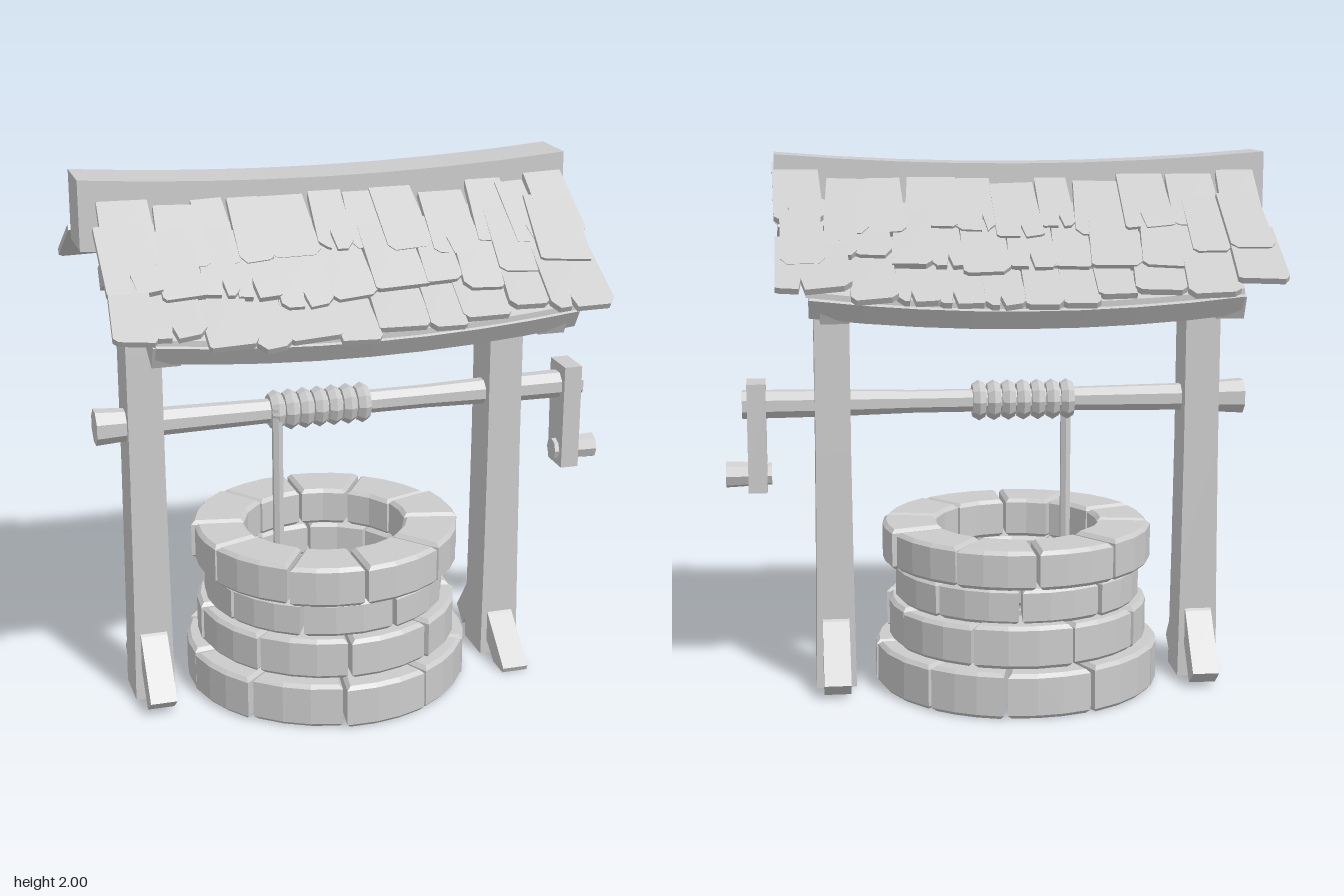
import * as THREE from 'three';

const CX = -0.09; // middle of the well and roof along x
const mat = new THREE.MeshStandardMaterial({ color: 0xcccccc, flatShading: true, side: THREE.DoubleSide });

let seed = 7;
const rnd = (a, b) => {
  seed = (seed * 16807) % 2147483647;
  return a + (b - a) * (seed / 2147483647);
};
const sag = (x, amount) => amount * ((x - CX) / 0.88) ** 2;

function add(parent, geo, name, x = 0, y = 0, z = 0) {
  const m = new THREE.Mesh(geo, mat);
  m.name = name;
  m.position.set(x, y, z);
  parent.add(m);
  return m;
}

// Move every vertex of a geometry by a rule
function bend(geo, rule) {
  const p = geo.attributes.position;
  const v = new THREE.Vector3();
  for (let i = 0; i < p.count; i++) {
    v.fromBufferAttribute(p, i);
    rule(v);
    p.setXYZ(i, v.x, v.y, v.z);
  }
  geo.computeVertexNormals();
  return geo;
}

const shapeOf = (pts) => new THREE.Shape(pts.map(([a, b]) => new THREE.Vector2(a, b)));

// Plank cut from a (z, y) outline, centred on x; side -1 puts it at the back
function plank(parent, pts, x, width, side, name) {
  const geo = new THREE.ExtrudeGeometry(shapeOf(pts), { depth: width, bevelEnabled: false });
  geo.translate(0, 0, -width / 2).rotateY(-side * Math.PI / 2);
  return add(parent, geo, name, x);
}

// One ring of bevelled, slightly uneven stone blocks
function stoneRing(parent, { y0, y1, r, inner, count, start }) {
  const ring = new THREE.Group();
  ring.name = 'stoneRing';
  const step = (Math.PI * 2) / count, bevel = 0.014;
  const cuts = Array.from({ length: count }, (_, i) => start + i * step + rnd(-0.06, 0.06));
  cuts.push(cuts[0] + Math.PI * 2);
  for (let i = 0; i < count; i++) {
    const ro = r - bevel + rnd(-0.012, 0.006), ri = inner + bevel;
    const pts = [];
    const arc = (rad, a, b, n) => {
      for (let k = 0; k <= n; k++) {
        const t = a + ((b - a) * k) / n;
        pts.push([Math.cos(t) * rad, Math.sin(t) * rad]);
      }
    };
    const gapO = 0.02 / ro, gapI = 0.02 / ri;
    arc(ro, cuts[i] + gapO, cuts[i + 1] - gapO, 3);
    arc(ri, cuts[i + 1] - gapI, cuts[i] + gapI, 2);
    const h = y1 - y0 - rnd(0, 0.012);
    const geo = new THREE.ExtrudeGeometry(shapeOf(pts), {
      depth: h - 2 * bevel, bevelThickness: bevel, bevelSize: bevel, bevelSegments: 1,
    });
    geo.rotateX(-Math.PI / 2);
    add(ring, geo, 'stoneBlock', CX, y0 + bevel, 0);
  }
  parent.add(ring);
}

// Wooden shingle with worn corners and sometimes a split; hangs down from its tail
function shingleGeometry(w, len) {
  const h = w / 2, c = rnd(0.01, 0.04), d = rnd(0.01, 0.04);
  const pts = [[-h * 0.92, len], [h * 0.92, len], [h, c], [h - c * 0.7, rnd(0, 0.015)]];
  if (rnd(0, 1) < 0.45) {
    const n = rnd(-h * 0.4, h * 0.4);
    pts.push([n + 0.012, 0], [n, rnd(0.05, 0.09)], [n - 0.01, 0.005]);
  }
  pts.push([-h + d * 0.7, rnd(0, 0.015)], [-h, d]);
  return new THREE.ExtrudeGeometry(shapeOf(pts), { depth: 0.024, bevelEnabled: false });
}

function roofSide(parent, side) {
  const roof = new THREE.Group();
  roof.name = side > 0 ? 'frontRoof' : 'backRoof';
  // Boarding under the shingles
  const boards = new THREE.BoxGeometry(1.52, 0.02, 1, 10, 1, 5);
  bend(boards, (v) => {
    const t = v.z + 0.5;
    v.x += -0.06;
    v.y += 1.83 - 0.37 * t + 0.04 * t * t + sag(v.x, 0.03 + 0.03 * t);
    v.z = 0.07 + 0.49 * t;
  });
  add(roof, boards, 'roofBoards').scale.z = side;
  // Sagging eave beam
  const eave = new THREE.BoxGeometry(1.51, 0.08, 0.1, 8, 1, 1).rotateX(0.58);
  add(roof, bend(eave, (v) => { v.x -= 0.065; v.y += 1.475 + sag(v.x, 0.06); v.z += 0.495; }), 'eaveBeam').scale.z = side;
  // Three overlapping shingle rows: tail z, tail y, slope, sag
  const rows = [
    [0.6, 1.485, 0.56, 0.08],
    [0.46, 1.595, 0.63, 0.06],
    [0.32, 1.705, 0.65, 0.04],
  ];
  rows.forEach(([z, y, slope, amount], k) => {
    let x = -0.97 + k * 0.015;
    const end = 0.8 - (k % 2) * 0.02;
    while (x < end - 0.05) {
      let w = rnd(0.11, 0.19);
      if (end - x - w < 0.09) w = end - x;
      const slip = rnd(-0.035, 0.035);
      const mid = x + w / 2;
      const s = add(roof, shingleGeometry(w + 0.006, 0.3 - slip * 0.4), 'shingle',
        mid, y + sag(mid, amount) - slip * Math.sin(slope) + rnd(0, 0.012), side * (z + slip * Math.cos(slope)));
      // Order YXZ turns the whole tilted shingle round for the back
      s.rotation.set(-(Math.PI / 2 - slope), side > 0 ? 0 : Math.PI, rnd(-0.06, 0.06), 'YXZ');
      x += w;
    }
  });
  parent.add(roof);
}

export function createModel() {
  const model = new THREE.Group();
  model.name = 'well';

  // Stone wall
  [
    { y0: 0, y1: 0.175, r: 0.535, inner: 0.335, count: 10, start: 0.15 },
    { y0: 0.175, y1: 0.335, r: 0.495, inner: 0.33, count: 9, start: 0.45 },
    { y0: 0.33, y1: 0.47, r: 0.46, inner: 0.32, count: 9, start: 0.1 },
    { y0: 0.47, y1: 0.625, r: 0.505, inner: 0.305, count: 10, start: 0.39 },
  ].forEach((o) => stoneRing(model, o));

  // Posts with roof rafters, braces and feet
  for (const [px, name] of [[-0.78, 'rightPost'], [0.602, 'leftPost']]) {
    const post = new THREE.BoxGeometry(0.15, 1.8, 0.18, 1, 4, 1).translate(0, 0.9, 0);
    bend(post, (v) => { v.x *= 1 - 0.14 * Math.sin((v.y / 1.8) * 2.4); });
    add(model, post, name, px);
    for (const side of [1, -1]) {
      plank(model, [[0.06, 1.83], [0.18, 1.74], [0.31, 1.655], [0.55, 1.52], [0.51, 1.44], [0.4, 1.5],
        [0.27, 1.59], [0.16, 1.68], [0.06, 1.76]], px, 0.1, side, 'rafter');
      plank(model, [[0.07, 1.38], [0.17, 1.5], [0.28, 1.6], [0.22, 1.66], [0.13, 1.58], [0.07, 1.5]],
        px, 0.09, side, 'roofBrace');
      const tall = (px < 0) === (side > 0) || side < 0;
      plank(model, tall
        ? [[0.06, 0.29], [0.1, 0.26], [0.26, 0.06], [0.19, 0.005], [0.06, 0.16]]
        : [[0.06, 0.2], [0.1, 0.17], [0.28, 0.02], [0.27, 0.0], [0.17, 0.0], [0.06, 0.08]],
      px, 0.1, side, 'footBrace');
    }
  }

  // Ridge beam
  const ridge = new THREE.BoxGeometry(1.79, 0.25, 0.2, 8, 1, 1);
  add(model, bend(ridge, (v) => {
    v.x += -0.095;
    v.y += 1.838 + sag(v.x, 0.037);
  }), 'ridgeBeam');

  roofSide(model, 1);
  roofSide(model, -1);

  // Winding shaft
  const shaft = new THREE.LatheGeometry(
    [[0, -0.955], [0.068, -0.955], [0.052, -0.7], [0.044, -0.2], [0.044, 0.3], [0.052, 0.6], [0.055, 0.935], [0, 0.935]]
      .map(([r, x]) => new THREE.Vector2(r, x)), 8);
  shaft.rotateY(Math.PI / 8).rotateZ(-Math.PI / 2);
  // The lathe axis now runs along +x
  add(model, shaft, 'shaft', 0, 1.075, 0.01);

  // Rope coil and hanging rope
  for (let i = 0; i < 7; i++) {
    const ring = new THREE.TorusGeometry(0.049, 0.028, 6, 10).rotateY(Math.PI / 2);
    add(model, ring, 'ropeCoil', -0.28 + i * 0.0555, 1.075, 0.01);
  }
  add(model, new THREE.CylinderGeometry(0.021, 0.021, 1.08, 6), 'hangingRope', -0.285, 0.56, 0.06);

  // Crank
  const arm = new THREE.BoxGeometry(0.07, 0.41, 0.145, 1, 1, 1);
  bend(arm, (v) => { if (v.y < 0) v.z *= 0.92; });
  add(model, arm, 'crankArm', 0.882, 0.955, 0.012);
  const handle = new THREE.CylinderGeometry(0.05, 0.042, 0.17, 8).rotateZ(-Math.PI / 2);
  add(model, handle, 'crankHandle', 0.915, 0.81, 0.015);

  return model;
}
